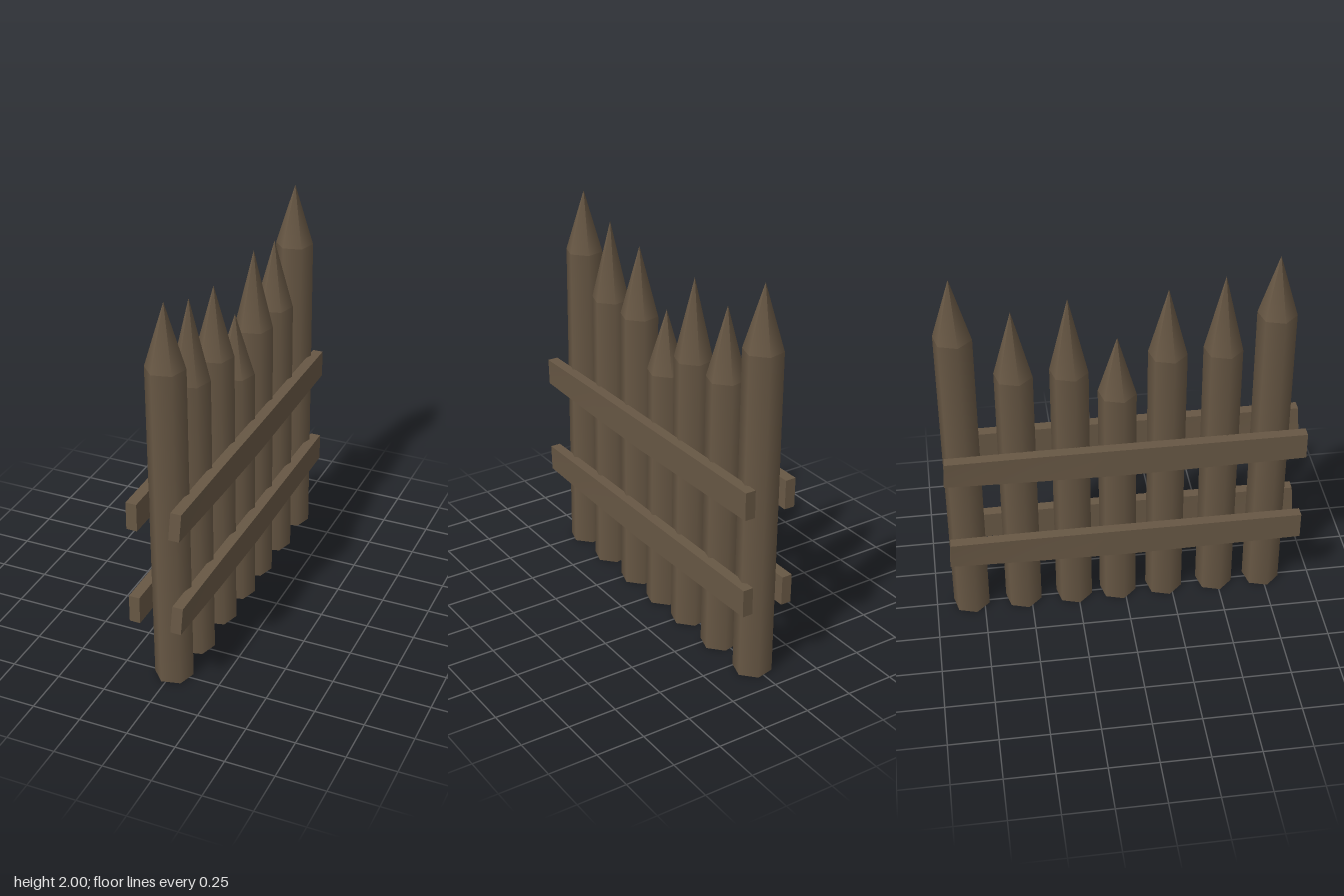
import * as THREE from 'three';

const wood = new THREE.MeshStandardMaterial({ color: 0x675744 });
wood.name = 'weatheredWood';

const RADIUS = 0.097;
const TURN = THREE.MathUtils.degToRad(43);

// Six-sided stake with a sharpened tip, leaning very slightly
function makeStake(z, shoulder, tip) {
  const stake = new THREE.Group();
  stake.name = 'stake';
  const shaft = new THREE.Mesh(new THREE.CylinderGeometry(RADIUS, RADIUS, shoulder, 6), wood);
  shaft.name = 'stakeShaft';
  shaft.position.y = shoulder / 2;
  const point = new THREE.Mesh(new THREE.ConeGeometry(RADIUS, tip - shoulder, 6, 1, true), wood);
  point.name = 'stakePoint';
  point.position.y = (shoulder + tip) / 2;
  shaft.rotation.y = point.rotation.y = TURN;
  stake.add(shaft, point);
  stake.position.set(0.007, 0, z);
  stake.rotation.z = 0.008;
  return stake;
}

// Hand-cut rail: bowed in the middle, one end sawn at a slant
function makeRail(side, y) {
  const geo = new THREE.BoxGeometry(0.055, 0.143, 1.81, 1, 1, 4);
  const p = geo.attributes.position;
  for (let i = 0; i < p.count; i++) {
    const z = p.getZ(i), top = p.getY(i) > 0;
    const bow = 1 - Math.abs(z) / 0.905;
    p.setY(i, p.getY(i) + bow * (top ? 0.004 : -0.01));
    p.setX(i, p.getX(i) + bow * 0.005);
    if (z > 0.9) {
      p.setZ(i, z + (top ? 0 : 0.009));
      p.setX(i, p.getX(i) + (top ? 0.003 : -0.006));
    }
  }
  geo.computeVertexNormals();
  const rail = new THREE.Mesh(geo, wood);
  rail.name = side > 0 ? 'leftRail' : 'rightRail';
  rail.position.set(side > 0 ? 0.107 : -0.117, y, 0);
  if (side < 0) rail.rotation.y = Math.PI;
  return rail;
}

export function createModel() {
  const fence = new THREE.Group();
  fence.name = 'palisade';

  // Stakes: z, shoulder height, tip height
  const stakes = [
    [0.742, 1.68, 2.0], [0.485, 1.5, 1.91], [0.212, 1.5, 1.86], [-0.035, 1.29, 1.61],
    [-0.27, 1.44, 1.85], [-0.54, 1.44, 1.8], [-0.817, 1.68, 2.0],
  ];
  for (const s of stakes) fence.add(makeStake(...s));

  // Two rails on each face
  for (const side of [1, -1])
    for (const y of [0.447, 0.965]) fence.add(makeRail(side, y));

  return fence;
}
